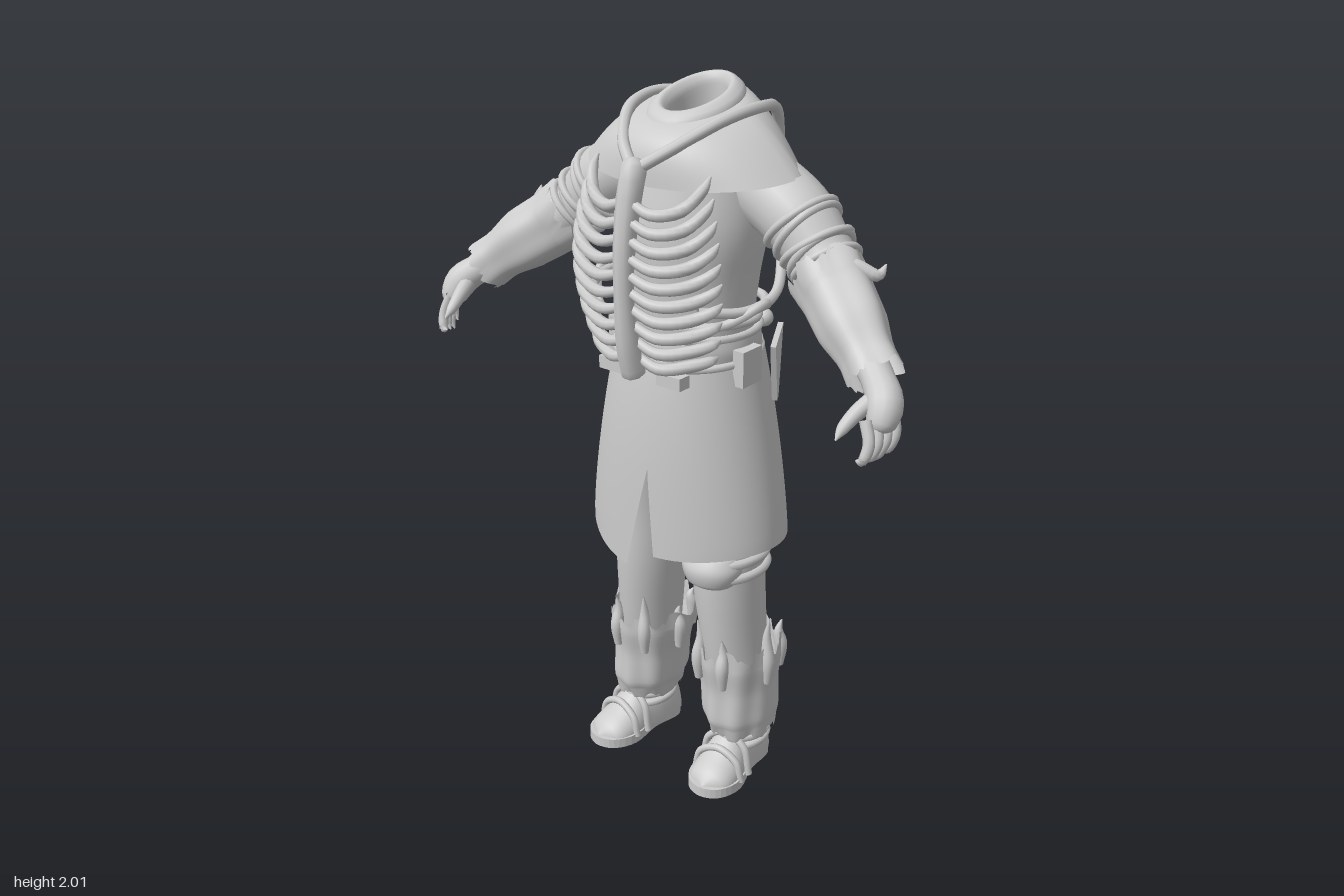
import * as THREE from 'three';
import { mergeVertices } from 'three/addons/utils/BufferGeometryUtils.js';

const grey = new THREE.MeshStandardMaterial({ color: 0xcccccc, side: THREE.DoubleSide });
grey.name = 'plain grey';
const V = (p) => new THREE.Vector3(...p);
const TAU = Math.PI * 2;

function add(parent, name, geometry) {
  const mesh = new THREE.Mesh(geometry, grey);
  mesh.name = name;
  parent.add(mesh);
  return mesh;
}

// Grid surface from a rule f(u, v), u and v in 0..1
function surface(f, nu, nv) {
  const pos = [], index = [];
  for (let j = 0; j <= nv; j++) for (let i = 0; i <= nu; i++) pos.push(...f(i / nu, j / nv));
  for (let j = 0; j < nv; j++) for (let i = 0; i < nu; i++) {
    const a = j * (nu + 1) + i, b = a + nu + 1;
    index.push(a, b, a + 1, a + 1, b, b + 1);
  }
  let g = new THREE.BufferGeometry();
  g.setAttribute('position', new THREE.Float32BufferAttribute(pos, 3));
  g.setIndex(index);
  g = mergeVertices(g, 1e-5);
  g.computeVertexNormals();
  return g;
}

// Upright loft through rings [x, y, z, rx, rz], from bottom to top; wave gives [radius factor, dy]
function loft(rings, wave = () => [1, 0], nu = 36, nv = 24) {
  const mid = new THREE.CatmullRomCurve3(rings.map((r) => V(r.slice(0, 3))));
  const rad = new THREE.CatmullRomCurve3(rings.map((r) => V([r[3], r[4], 0])));
  return surface((u, v) => {
    const a = u * TAU, c = mid.getPoint(v), r = rad.getPoint(v), [k, dy] = wave(a, v);
    return [c.x + r.x * k * Math.cos(a), c.y + dy, c.z + r.y * k * Math.sin(a)];
  }, nu, nv);
}

// Round limb along points [x, y, z, r]
function limb(pts, nu = 10, nv = 14, wave = () => [1, 0]) {
  const path = new THREE.CatmullRomCurve3(pts.map((p) => V(p.slice(0, 3))));
  const rad = new THREE.CatmullRomCurve3(pts.map((p) => V([p[3], 0, 0])));
  const ref = V([0.6, 0.75, 0]);
  return surface((u, v) => {
    const a = u * TAU, [k, along] = wave(a, v);
    const T = path.getTangent(v), N = T.clone().cross(ref).normalize(), B = T.clone().cross(N);
    const r = rad.getPoint(v).x * k;
    return path.getPoint(v).addScaledVector(N, r * Math.cos(a)).addScaledVector(B, -r * Math.sin(a))
      .addScaledVector(T, along).toArray();
  }, nu, nv);
}

const cable = (pts, r, closed = false) =>
  new THREE.TubeGeometry(new THREE.CatmullRomCurve3(pts.map(V), closed), 40, r, 8, closed);

// Horizontal oval ring, tilted front to back
function ring(x, y, z, rx, rz, r, tilt = 0) {
  const pts = [];
  for (let i = 0; i < 16; i++) {
    const a = (i / 16) * TAU;
    pts.push([x + rx * Math.cos(a), y + tilt * Math.sin(a), z + rz * Math.sin(a)]);
  }
  return cable(pts, r, true);
}

const ragged = (a) => 0.5 + 0.5 * Math.sign(Math.sin(a * 7)) * Math.abs(Math.sin(a * 7 + Math.sin(a * 3)));

function arm() {
  const g = new THREE.Group();
  const sleeve = [[0.17, 1.77, -0.06, 0.1], [0.31, 1.7, -0.05, 0.098], [0.42, 1.6, -0.03, 0.082],
    [0.52, 1.52, 0.02, 0.075], [0.64, 1.43, 0.09, 0.045]];
  add(g, 'sleeve', limb(sleeve, 20, 24));
  // Wound bands on the upper arm
  const path = new THREE.CatmullRomCurve3(sleeve.map((p) => V(p.slice(0, 3))));
  [0.29, 0.34, 0.42, 0.46, 0.51].forEach((t, i) => {
    const band = add(g, 'armBand', new THREE.TorusGeometry(0.099 - i * 0.003, 0.011, 8, 28));
    band.position.copy(path.getPoint(t));
    const dir = path.getTangent(t);
    dir.y += (i % 2 ? 0.18 : -0.12);
    band.quaternion.setFromUnitVectors(V([0, 0, 1]), dir.normalize());
  });
  // Torn gauntlet
  add(g, 'gauntlet', limb([[0.445, 1.575, -0.01, 0.1], [0.49, 1.54, 0.01, 0.092], [0.56, 1.49, 0.05, 0.088],
    [0.63, 1.435, 0.085, 0.07], [0.66, 1.41, 0.1, 0.072]], 56, 16, (a, v) =>
    [1 + 0.05 * Math.sin(a * 5), (v > 0.9 ? 0.02 : v < 0.1 ? -0.03 : 0) * ragged(a)]));
  add(g, 'gauntletSpike', limb([[0.5, 1.6, 0.02, 0.03], [0.52, 1.62, 0.0, 0.02], [0.575, 1.6, -0.03, 0.016],
    [0.585, 1.625, -0.05, 0.002]]));
  // Hand
  add(g, 'palm', limb([[0.62, 1.44, 0.08, 0.045], [0.68, 1.4, 0.115, 0.042], [0.725, 1.36, 0.15, 0.046],
    [0.735, 1.31, 0.18, 0.034], [0.735, 1.295, 0.185, 0.002]], 14));
  for (let i = 0; i < 4; i++) {
    const x = 0.748 - 0.009 * i, z = 0.14 + 0.023 * i, y = 1.33 - 0.006 * i;
    add(g, 'finger', limb([[x - 0.01, y + 0.02, z, 0.016], [x + 0.01, y - 0.035, z + 0.012, 0.015],
      [x, y - 0.075, z + 0.025, 0.013], [x - 0.015, y - 0.1 + 0.012 * Math.abs(i - 1), z + 0.028, 0.002]]));
  }
  add(g, 'thumb', limb([[0.7, 1.37, 0.14, 0.024], [0.68, 1.34, 0.2, 0.02], [0.67, 1.31, 0.245, 0.015],
    [0.67, 1.29, 0.272, 0.002]]));
  return g;
}

function leg() {
  const g = new THREE.Group();
  add(g, 'trouser', loft([[0.18, 0.07, -0.03, 0.06, 0.065], [0.17, 0.25, -0.03, 0.08, 0.09],
    [0.157, 0.43, -0.02, 0.086, 0.108], [0.145, 0.6, -0.01, 0.095, 0.115], [0.135, 0.78, -0.01, 0.1, 0.12],
    [0.115, 1.0, -0.01, 0.11, 0.14]]));
  // Torn shin guard with bony spikes
  add(g, 'shinGuard', loft([[0.178, 0.14, -0.035, 0.088, 0.105], [0.172, 0.19, -0.035, 0.1, 0.125],
    [0.167, 0.28, -0.035, 0.104, 0.122], [0.162, 0.36, -0.035, 0.117, 0.133], [0.16, 0.39, -0.035, 0.119, 0.135]],
  (a, v) => [1 + 0.03 * Math.sin(a * 8 + v * 2), (v > 0.9 ? 0.045 : v < 0.06 ? -0.02 : 0) * ragged(a)], 72, 20));
  [[0.1, 0.13], [1.25, 0.08], [2.1, 0.11], [3.0, 0.06], [4.2, 0.04], [5.5, 0.07]].forEach(([a, h]) => {
    const c = Math.cos(a), s = Math.sin(a), at = (k, y, r) => [0.162 + 0.115 * k * c, y, -0.035 + 0.13 * k * s, r];
    add(g, 'guardSpike', limb([at(1, 0.31, 0.012), at(1.02, 0.38, 0.02), at(0.96, 0.39 + h * 0.5, 0.013),
      at(1.03, 0.39 + h, 0.002)]));
  });
  // Boot, straps and sole
  const foot = new THREE.Group();
  foot.position.set(0.18, 0, 0);
  foot.rotation.y = 0.12;
  const spine = new THREE.CatmullRomCurve3([[0.005, 0.02, -0.135], [0.055, 0.13, -0.11], [0.066, 0.165, -0.04],
    [0.066, 0.145, 0.03], [0.074, 0.095, 0.1], [0.062, 0.065, 0.155], [0.005, 0.03, 0.185]].map(V));
  add(foot, 'boot', surface((u, v) => {
    const a = u * TAU, s = spine.getPoint(1 - v), y = Math.sin(a);
    return [s.x * Math.cos(a), 0.02 + Math.max(0, s.y - 0.02) * Math.max(0, y), s.z];
  }, 28, 20));
  const outline = new THREE.Shape(new THREE.SplineCurve([[0, 0.14], [0.058, 0.1], [0.058, 0], [0.08, -0.1],
    [0.055, -0.17], [0, -0.195], [-0.055, -0.17], [-0.08, -0.1], [-0.058, 0], [-0.058, 0.1], [0, 0.14]]
    .map((p) => new THREE.Vector2(...p))).getPoints(40));
  add(foot, 'sole', new THREE.ExtrudeGeometry(outline, { depth: 0.03, bevelEnabled: false })).rotation.x = -Math.PI / 2;
  [[0.05, 0.128], [0.095, 0.098]].forEach(([z, h]) =>
    add(foot, 'bootStrap', cable([[-0.077, 0.02, z], [-0.06, h * 0.8, z], [0, h + 0.01, z], [0.06, h * 0.8, z], [0.077, 0.02, z]], 0.011)));
  g.add(foot);
  [0.1, 0.125, 0.145].forEach((y, i) => add(g, 'ankleWrap', ring(0.18, y, -0.03, 0.072, 0.08, 0.012, i * 0.006 - 0.006)));
  return g;
}

// One skirt panel between the front and back slits
function skirtPanel(side) {
  return surface((u, v) => {
    const hemY = (t) => 0.77 - (side < 0 ? 0.085 : 0.03) * Math.max(0, Math.sin(t)) ** 2;
    const span = (y) => {
      const t = Math.max(0, (y - 0.77) / 0.55), rx = 0.305 - 0.1 * t ** 1.3, rz = 0.222 - 0.035 * t ** 3;
      const f = Math.max(0, (1 - y) / 0.28), b = Math.max(0, (0.96 - y) / 0.2);
      const front = Math.acos((0.03 + f * (side > 0 ? 0.02 : -0.07)) / rx), back = -Math.acos(side * b * 0.04 / rx);
      const [a0, a1] = side > 0 ? [back, front] : [front, back + TAU];
      return { rx, rz, a: a0 + (a1 - a0) * u };
    };
    const hem = hemY(span(0.74).a), y = hem + (1.32 - hem) * v, s = span(y);
    return [s.rx * Math.cos(s.a), y, -0.008 + s.rz * Math.sin(s.a)];
  }, 40, 28);
}

export function createModel() {
  const model = new THREE.Group();
  add(model, 'torso', loft([[0, 1.22, 0, 0.195, 0.165], [0, 1.35, 0, 0.185, 0.165], [0, 1.5, -0.005, 0.195, 0.178],
    [0, 1.65, -0.015, 0.215, 0.19], [0, 1.8, -0.035, 0.2, 0.18], [0, 1.92, -0.04, 0.1, 0.12]]));
  // Shoulder cape: short in front, longer behind
  add(model, 'shoulderCape', surface((u, v) => {
    const a = u * TAU, s = Math.sin(a), k = 1 - v, bulge = Math.sin(k * Math.PI);
    const low = s > 0 ? 1.8 - 0.03 * s : 1.8 + 0.15 * s;
    const y = 1.95 - 0.03 * s + (low - 1.95 + 0.03 * s) * k ** 1.25 + 0.015 * bulge;
    return [Math.cos(a) * (0.11 + 0.22 * k), y, -0.045 + s * (0.13 + (s > 0 ? 0.1 : 0.075) * k + 0.03 * bulge)];
  }, 48, 14));
  // Hollow collar, tilted forward
  add(model, 'collar', loft([[0, 1.86, -0.05, 0.001, 0.001], [0, 1.88, -0.045, 0.06, 0.085], [0, 1.95, -0.04, 0.065, 0.09],
    [0, 1.975, -0.035, 0.085, 0.11], [0, 1.955, -0.035, 0.115, 0.14], [0, 1.88, -0.03, 0.13, 0.16]],
  (a) => [1, -0.034 * Math.sin(a)]));

  // Breastbone and rib cage
  add(model, 'breastbone', limb([[0, 1.84, 0.19, 0.004], [0, 1.82, 0.21, 0.035], [0, 1.65, 0.25, 0.03], [0, 1.5, 0.258, 0.026],
    [0, 1.36, 0.245, 0.032], [0, 1.28, 0.225, 0.034], [0, 1.265, 0.22, 0.002]], 8, 24));
  for (const side of [1, -1]) {
    const half = new THREE.Group();
    half.name = side > 0 ? 'leftSide' : 'rightSide';
    half.scale.x = side;
    for (let i = 0; i < 10; i++) {
      const y = 1.74 - 0.046 * i, z = 0.22 + 0.035 * Math.sin(((i + 2) / 11) * Math.PI);
      const w = 0.165 + 0.065 * Math.sin(((i + 1) / 10) * Math.PI * 0.85), lift = 0.075 - 0.007 * i;
      add(half, 'rib', limb([[0.01, y, z, 0.012], [w * 0.4, y - 0.022, z - 0.004, 0.016], [w * 0.8, y - 0.005, z - 0.035, 0.017],
        [w, y + lift * 0.6, z - 0.075, 0.014], [w * 1.02, y + lift, z - 0.1, 0.003]], 8, 16));
    }
    // Cords over the shoulder and around the flank
    add(half, 'shoulderCord', cable([[0.01, 1.82, 0.21], [0.08, 1.87, 0.16], [0.15, 1.93, 0.05], [0.165, 1.945, -0.08],
      [0.13, 1.92, -0.2], [0.1, 1.85, -0.26], [0.085, 1.76, -0.275], [0.1, 1.68, -0.245], [0.06, 1.6, -0.22]], 0.016));
    add(half, 'flankCord', cable([[0.08, 1.72, -0.265], [0.13, 1.63, -0.225], [0.19, 1.53, -0.16], [0.25, 1.475, -0.05],
      [0.25, 1.46, 0.07], [0.18, 1.47, 0.18]], 0.014));
    add(half, 'lowerCord', cable([[0, 1.42, -0.18], [0.12, 1.42, -0.165], [0.22, 1.44, -0.05], [0.275, 1.475, 0.03],
      [0.22, 1.43, 0.12], [0.13, 1.42, 0.2]], 0.013));
    // Belt studs, pouches and hanging side flap
    const stud = add(half, 'beltStud', new THREE.SphereGeometry(0.025, 14, 10));
    stud.position.set(0.16, 1.37, -0.13);
    const pouch = add(half, 'beltPouch', new THREE.BoxGeometry(0.035, 0.1, 0.08));
    pouch.position.set(0.218, 1.29, 0.02);
    const box = add(half, 'frontBox', new THREE.BoxGeometry(0.08, 0.035, 0.04));
    box.position.set(0.1, 1.27, 0.185);
    const flap = add(half, 'sideFlap', new THREE.ExtrudeGeometry(new THREE.Shape([[-0.07, 0], [0.08, 0], [-0.01, -0.18], [-0.035, -0.18]]
      .map((p) => new THREE.Vector2(...p))), { depth: 0.015, bevelEnabled: false }));
    flap.position.set(0.215, 1.34, -0.1);
    flap.rotation.set(0, Math.PI / 2 + 0.5, 0.12, 'YXZ');
    half.add(arm(), leg());
    model.add(half);
    add(model, 'skirtPanel', skirtPanel(side));
  }
  // Back brace
  add(model, 'backBar', cable([[-0.11, 1.74, -0.27], [0, 1.765, -0.275], [0.11, 1.74, -0.27]], 0.018));
  add(model, 'backLoop', cable([[-0.06, 1.6, -0.22], [0, 1.575, -0.215], [0.06, 1.6, -0.22]], 0.015));
  // Belts
  add(model, 'beltBand', loft([[0, 1.3, 0, 0.208, 0.18], [0, 1.33, 0, 0.21, 0.183], [0, 1.37, 0, 0.204, 0.178]]));
  [1.3, 1.37, 1.4].forEach((y, i) => add(model, 'beltCord', ring(0, y, 0, 0.208 - i * 0.004, 0.18 - i * 0.002, 0.011, 0.012 * (i - 1))));
  // Knee pad on the left leg only
  add(model, 'kneePad', loft([[0.14, 0.62, 0.07, 0.03, 0.02], [0.14, 0.645, 0.07, 0.075, 0.06], [0.14, 0.69, 0.06, 0.092, 0.08],
    [0.14, 0.73, 0.06, 0.075, 0.06], [0.14, 0.75, 0.06, 0.01, 0.01]]));
  [0.665, 0.71].forEach((y) => add(model, 'kneeStrap', ring(0.14, y, -0.01, 0.1, 0.122, 0.014)));
  return model;
}
